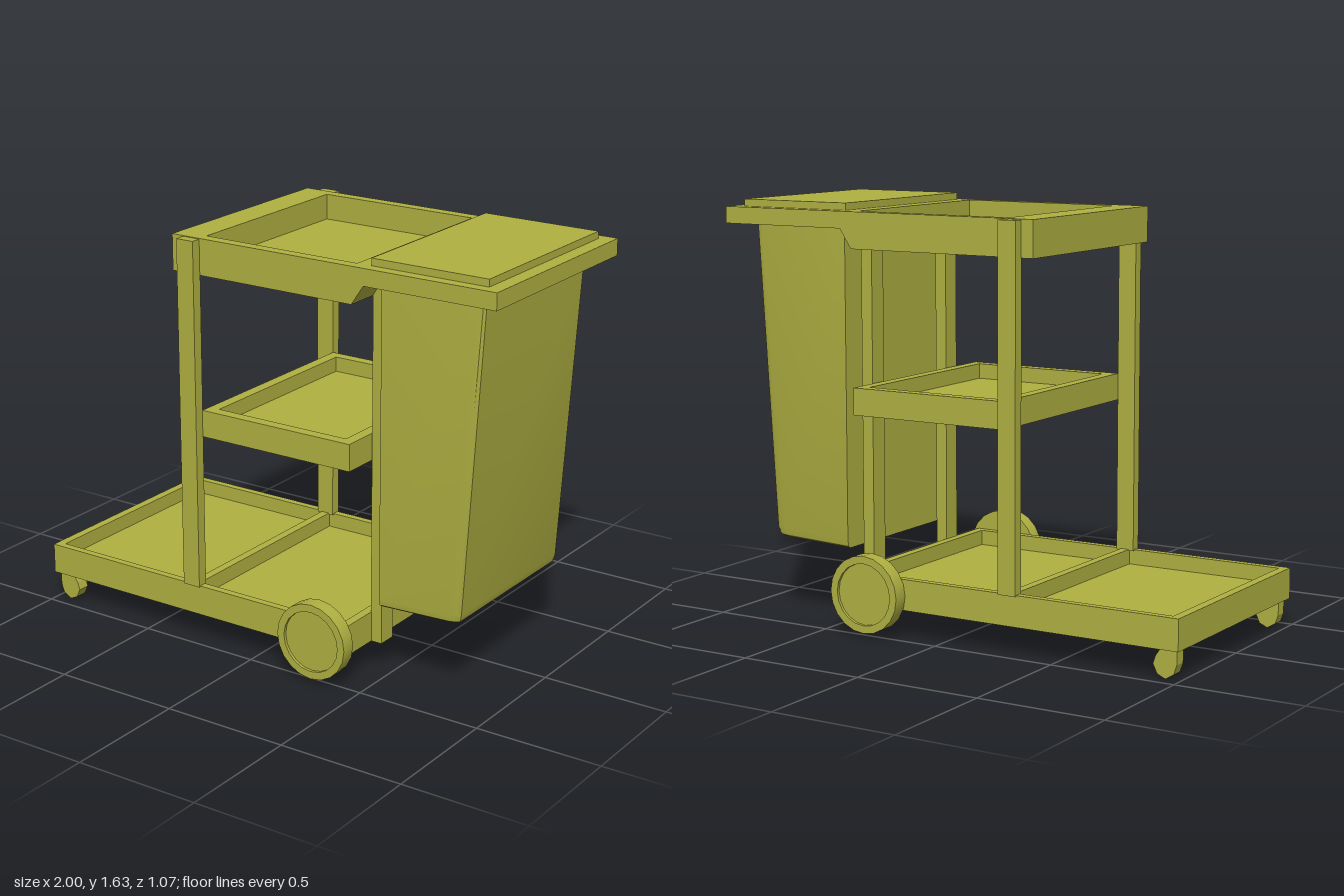
import * as THREE from 'three';
import { toCreasedNormals } from 'three/addons/utils/BufferGeometryUtils.js';

const material = new THREE.MeshStandardMaterial({ color: 0xb0b042 });

function add(parent, name, geometry) {
  const mesh = new THREE.Mesh(geometry, material);
  mesh.name = name;
  parent.add(mesh);
  return mesh;
}

// Box given by its limits on each axis
function box(x0, x1, y0, y1, z0, z1) {
  return new THREE.BoxGeometry(x1 - x0, y1 - y0, z1 - z0)
    .translate((x0 + x1) / 2, (y0 + y1) / 2, (z0 + z1) / 2);
}

function rect(Type, x0, x1, w) {
  return new Type([[x0, -w], [x1, -w], [x1, w], [x0, w]].map(p => new THREE.Vector2(...p)));
}

// Side outline in x, y extruded from z0 to z1
function slab(points, z0, z1) {
  const shape = new THREE.Shape(points.map(p => new THREE.Vector2(...p)));
  return new THREE.ExtrudeGeometry(shape, { depth: z1 - z0, bevelEnabled: false }).translate(0, 0, z0);
}

// Rimmed tray: a frame with one or more openings, each closed by a recessed floor
function tray(parent, name, x0, x1, w, y0, y1, floorY, openings, innerW) {
  const group = new THREE.Group();
  group.name = name;
  parent.add(group);
  const shape = rect(THREE.Shape, x0, x1, w);
  for (const [a, b] of openings) {
    shape.holes.push(rect(THREE.Path, a, b, innerW));
    add(group, name + 'Floor', box(a, b, y0, floorY, -innerW, innerW));
  }
  add(group, name + 'Rim', new THREE.ExtrudeGeometry(shape, { depth: y1 - y0, bevelEnabled: false })
    .rotateX(-Math.PI / 2).translate(0, y0, 0));
}

// Tapered bin lofted through horizontal sections, outer corners eased
function binGeometry() {
  const sections = [ // y, outer x, half width, corner length, inner x
    [0.29, 0.81, 0.345, 0.03, 0.49],
    [0.298, 0.828, 0.357, 0.042, 0.49],
    [0.325, 0.836, 0.362, 0.045, 0.49],
    [1.54, 0.912, 0.362, 0.027, 0.49],
  ];
  const positions = [], index = [], n = 8;
  sections.forEach(([y, X, w, c, x0], row) => {
    const half = [[x0, w], [X - c, w], [X - 0.3 * c, w - 0.005], [X, w - 0.015]];
    const ring = [...half, ...half.slice().reverse().map(([x, z]) => [x, -z])];
    // the underside rises slightly toward the outer end
    for (const [x, z] of ring) positions.push(x, row < 3 ? y + 0.04 * (x - x0) : y, z);
  });
  for (let r = 0; r < sections.length - 1; r++) {
    for (let i = 0; i < n; i++) {
      const a = r * n + i, b = r * n + (i + 1) % n;
      index.push(a, b, b + n, a, b + n, a + n);
    }
  }
  const top = (sections.length - 1) * n;
  for (let i = 1; i < n - 1; i++) index.push(0, i + 1, i, top, top + i, top + i + 1);
  const g = new THREE.BufferGeometry();
  g.setAttribute('position', new THREE.Float32BufferAttribute(positions, 3));
  g.setIndex(index);
  return toCreasedNormals(g, 0.5);
}

export function createModel() {
  const cart = new THREE.Group();
  cart.name = 'janitorCart';

  // Trays
  tray(cart, 'base', -1, 0.415, 0.47, 0.11, 0.23, 0.17, [[-0.965, -0.315], [-0.28, 0.38]], 0.44);
  tray(cart, 'middleShelf', -0.26, 0.405, 0.435, 0.83, 0.935, 0.875, [[-0.215, 0.36]], 0.39);
  tray(cart, 'topTray', -0.385, 0.41, 0.435, 1.46, 1.6, 1.5, [[-0.26, 0.405]], 0.39);

  // Bin holder, lid and bin
  add(cart, 'binHolder', slab(
    [[0.41, 1.46], [0.46, 1.535], [1, 1.535], [1, 1.6], [0.41, 1.6]], -0.435, 0.435));
  add(cart, 'lid', box(0.465, 0.943, 1.6, 1.628, -0.39, 0.39));
  add(cart, 'bin', binGeometry());

  // Wheel profile with a shallow recess on the outer face
  const wheel = toCreasedNormals(new THREE.LatheGeometry(
    [[0, 0], [0.15, 0], [0.15, 0.06], [0.12, 0.06], [0.12, 0.048], [0, 0.048]]
      .map(p => new THREE.Vector2(...p)), 20), 0.6);
  const casterOutline = [[-0.985, 0.11], [-0.985, 0.055], [-0.973, 0.02], [-0.94, 0],
    [-0.907, 0.015], [-0.89, 0.05], [-0.9, 0.08], [-0.92, 0.11]];

  for (const s of [1, -1]) {
    const side = s > 0 ? 'front' : 'back';
    const span = (a, b) => (s > 0 ? [a, b] : [-b, -a]);
    // Outer uprights and the pair beside the bin
    add(cart, side + 'OuterPost', box(-0.335, -0.26, 0.225, 1.597, ...span(0.433, 0.475)));
    add(cart, side + 'InnerPost', box(0.412, 0.46, 0.11, 1.537, ...span(0.22, 0.297)));
    add(cart, side + 'Caster', slab(casterOutline, ...span(0.4, 0.45)));
    const w = add(cart, side + 'Wheel', wheel);
    w.rotation.x = s * Math.PI / 2;
    w.position.set(0.3, 0.165, s * 0.473);
  }
  return cart;
}
